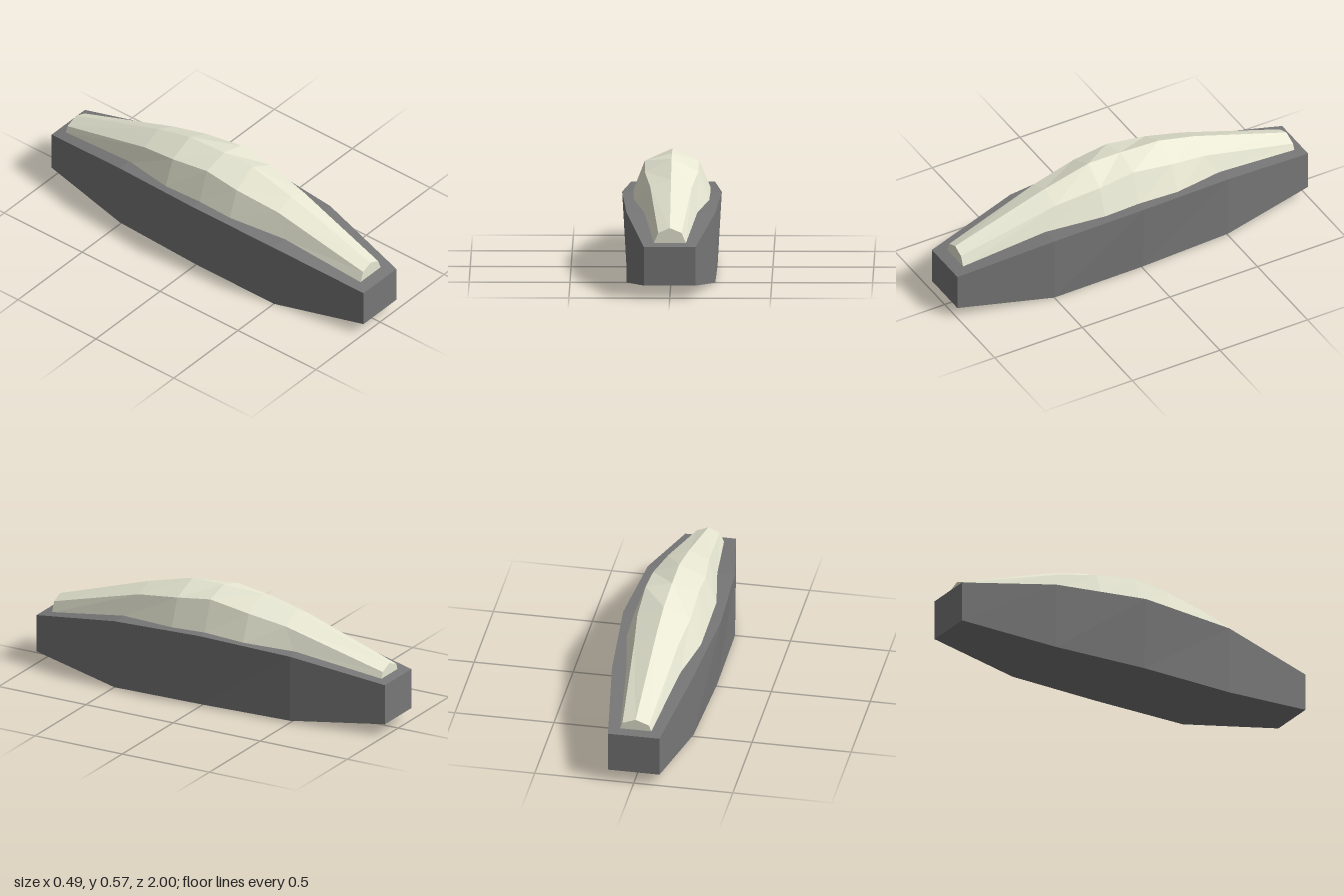
import * as THREE from 'three';

// Closed flat-faced loft through rings of [x, y, z], ordered front to back,
// each ring counter-clockwise as seen from the front.
function loft(rings) {
  const pos = [];
  const tri = (...pts) => pts.forEach((p) => pos.push(...p));
  const n = rings[0].length;
  for (let r = 0; r < rings.length - 1; r++) {
    const a = rings[r], b = rings[r + 1];
    for (let i = 0; i < n; i++) {
      const j = (i + 1) % n;
      tri(a[i], b[i], b[j]);
      tri(a[i], b[j], a[j]);
    }
  }
  const front = rings[0], back = rings[rings.length - 1];
  for (let i = 1; i < n - 1; i++) {
    tri(front[0], front[i], front[i + 1]);
    tri(back[0], back[i + 1], back[i]);
  }
  const geo = new THREE.BufferGeometry();
  geo.setAttribute('position', new THREE.Float32BufferAttribute(pos, 3));
  geo.computeVertexNormals();
  return geo;
}

function part(name, geometry, color) {
  const mesh = new THREE.Mesh(geometry, new THREE.MeshStandardMaterial({ color, flatShading: true }));
  mesh.name = name;
  return mesh;
}

export function createModel() {
  const group = new THREE.Group();
  group.name = 'canopyAssembly';

  // Base: z, bottom half width, bottom y, top half width, top y
  const baseRings = [
    [1, 0.128, 0.063, 0.128, 0.256],
    [0.5, 0.22, 0, 0.22, 0.35],
    [0, 0.226, 0.008, 0.247, 0.377],
    [-0.5, 0.205, 0.01, 0.207, 0.35],
    [-1, 0.13, 0.063, 0.13, 0.27],
  ].map(([z, bw, by, tw, ty]) => [[-bw, by, z], [bw, by, z], [tw, ty, z], [-tw, ty, z]]);
  group.add(part('base', loft(baseRings), 0x777777));

  // Canopy: sill [half width, y, z], shoulder [half width, y, z], ridge [y, z]
  const canopyRings = [
    [[0.08, 0.265, 0.94], [0.058, 0.318, 0.94], [0.342, 0.94]],
    [[0.131, 0.349, 0.5], [0.103, 0.468, 0.43], [0.505, 0.43]],
    [[0.187, 0.366, 0.19], [0.133, 0.507, 0.19], [0.57, 0.18]],
    [[0.192, 0.374, 0], [0.134, 0.534, 0], [0.57, 0]],
    [[0.189, 0.364, -0.22], [0.133, 0.5, -0.22], [0.56, -0.22]],
    [[0.137, 0.352, -0.48], [0.11, 0.463, -0.42], [0.512, -0.42]],
    [[0.08, 0.275, -0.95], [0.067, 0.31, -0.95], [0.335, -0.95]],
  ].map(([[w, y, z], [sw, sy, sz], [ry, rz]]) => [
    [-w, y, z], [w, y, z], [sw, sy, sz], [0, ry, rz], [-sw, sy, sz],
  ]);
  group.add(part('canopy', loft(canopyRings), 0xe8e8d4));

  return group;
}
